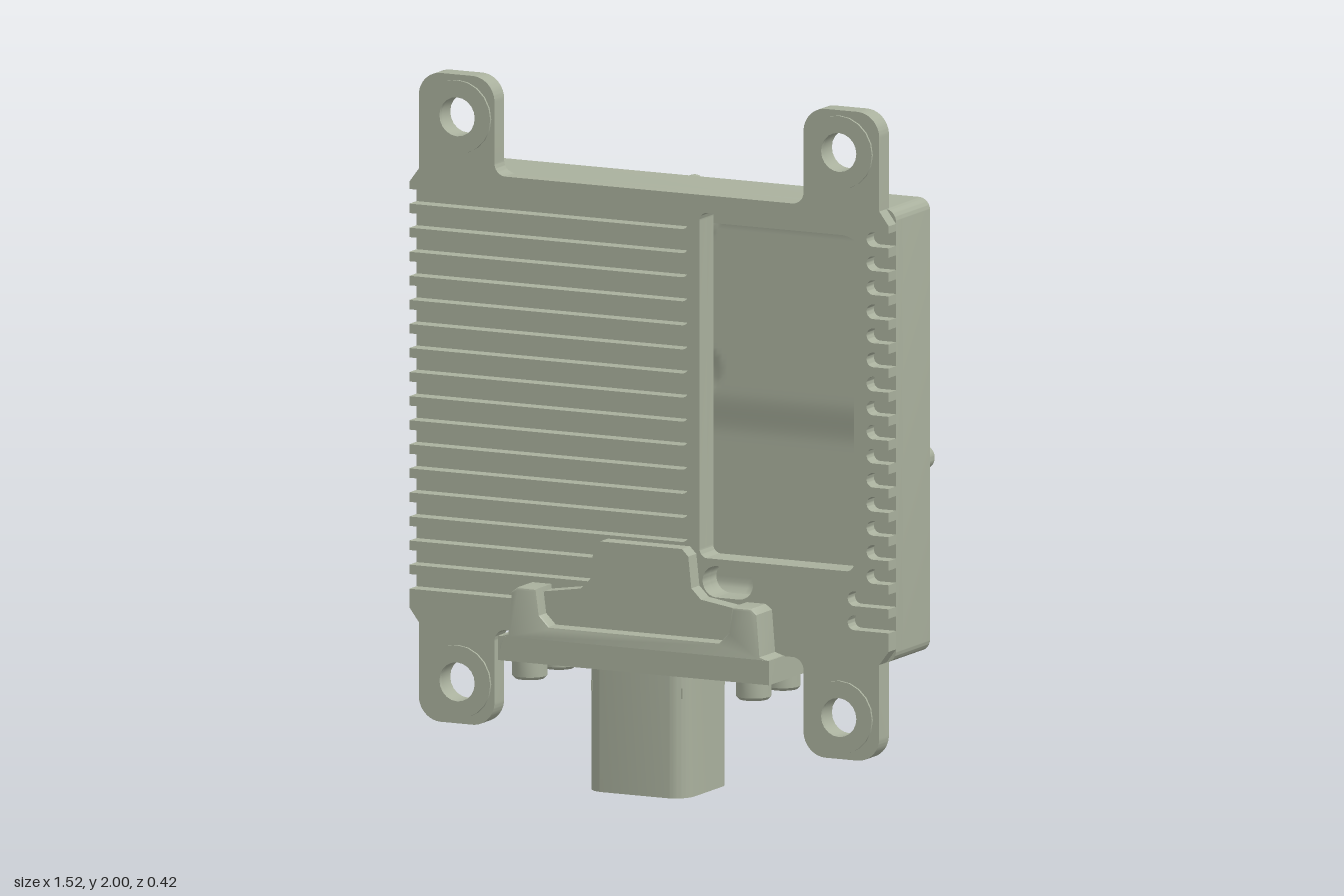
import * as THREE from 'three';
import { toCreasedNormals } from 'three/addons/utils/BufferGeometryUtils.js';

const COLOR = 0xa9b09d;
const mat = new THREE.MeshStandardMaterial({ color: COLOR });
const thinMat = new THREE.MeshStandardMaterial({ color: COLOR, side: THREE.DoubleSide });

// Rounded rectangle, drawn into a Shape or a Path
function roundRect(p, x0, y0, x1, y1, r) {
  p.moveTo(x0 + r, y0);
  p.lineTo(x1 - r, y0);
  p.absarc(x1 - r, y0 + r, r, -Math.PI / 2, 0);
  p.lineTo(x1, y1 - r);
  p.absarc(x1 - r, y1 - r, r, 0, Math.PI / 2);
  p.lineTo(x0 + r, y1);
  p.absarc(x0 + r, y1 - r, r, Math.PI / 2, Math.PI);
  p.lineTo(x0, y0 + r);
  p.absarc(x0 + r, y0 + r, r, Math.PI, Math.PI * 1.5);
  return p;
}

const polygon = (pts) => new THREE.Shape(pts.map(([x, y]) => new THREE.Vector2(x, y)));

// Extrude a shape between two depths
function slab(shape, z0, z1, bevel = 0) {
  const g = new THREE.ExtrudeGeometry(shape, {
    depth: z1 - z0 - 2 * bevel, curveSegments: 10, bevelEnabled: bevel > 0,
    bevelSize: bevel, bevelOffset: -bevel, bevelThickness: bevel, bevelSegments: 2,
  });
  g.translate(0, 0, z0 + bevel);
  return toCreasedNormals(g, 0.6);
}

export function createModel() {
  const model = new THREE.Group();
  const add = (name, geometry, material = mat, parent = model) => {
    const mesh = new THREE.Mesh(geometry, material);
    mesh.name = name;
    parent.add(mesh);
    return mesh;
  };

  // Housing walls around the cavity
  const wall = roundRect(new THREE.Shape(), -0.76, 0.42, 0.76, 1.72, 0.035);
  wall.holes.push(roundRect(new THREE.Path(), -0.645, 0.505, 0.645, 1.625, 0.08));
  add('housingWalls', slab(wall, -0.14, 0.03));

  // Front openings: large window and small oblong port
  const openings = () => {
    const port = new THREE.Path();
    port.absarc(0.285, 0.615, 0.045, -Math.PI / 2, Math.PI / 2);
    port.absarc(0.215, 0.615, 0.045, Math.PI / 2, Math.PI * 1.5);
    return [roundRect(new THREE.Path(), 0.16, 0.68, 0.65, 1.67, 0.025), port];
  };
  const plate = roundRect(new THREE.Shape(), -0.76, 0.42, 0.76, 1.72, 0.035);
  plate.holes.push(...openings());
  add('frontPlate', slab(plate, 0.03, 0.07));

  // Cooling fins: slots with round ends cut in from both side edges
  const r = 0.021, count = 17, slotY = (k) => 1.638 - 0.069 * k;
  const fins = new THREE.Shape();
  fins.moveTo(0.73, 0.42);
  fins.lineTo(-0.73, 0.42);
  fins.lineTo(-0.76, 0.46);
  for (let k = count - 1; k >= 0; k--) {
    const y = slotY(k), end = k === 16 ? -0.4 : k > 13 ? -0.16 : 0.125;
    fins.lineTo(-0.76, y - r);
    fins.lineTo(end - r, y - r);
    fins.absarc(end - r, y, r, -Math.PI / 2, Math.PI / 2);
    fins.lineTo(-0.76, y + r);
  }
  fins.lineTo(-0.76, 1.68);
  fins.lineTo(-0.73, 1.72);
  fins.lineTo(0.73, 1.72);
  fins.lineTo(0.76, 1.68);
  for (let k = 0; k < count; k++) {
    const y = slotY(k), end = k > 14 ? 0.63 : 0.69;
    fins.lineTo(0.76, y + r);
    fins.lineTo(end + r, y + r);
    fins.absarc(end + r, y, r, Math.PI / 2, Math.PI * 1.5);
    fins.lineTo(0.76, y - r);
  }
  fins.lineTo(0.76, 0.46);
  fins.holes.push(...openings());
  add('coolingFins', slab(fins, 0.07, 0.115));

  // Mounting lugs with a filleted root, bolt hole and raised ring
  const lugShape = new THREE.Shape();
  lugShape.moveTo(0.73, -0.04);
  lugShape.lineTo(0.73, 0.21);
  lugShape.absarc(0.66, 0.21, 0.07, 0, Math.PI / 2);
  lugShape.lineTo(0.56, 0.28);
  lugShape.absarc(0.56, 0.21, 0.07, Math.PI / 2, Math.PI);
  lugShape.lineTo(0.49, 0.03);
  lugShape.absarc(0.455, 0.035, 0.035, 0, -Math.PI / 2, true);
  lugShape.lineTo(0.455, -0.04);
  const bolt = () => new THREE.Path().absarc(0.605, 0.16, 0.056, 0, Math.PI * 2);
  lugShape.holes.push(bolt());
  const ring = new THREE.Shape().absarc(0.605, 0.16, 0.105, 0, Math.PI * 2);
  ring.holes.push(bolt());
  for (const top of [true, false]) for (const side of [1, -1]) {
    const lug = new THREE.Group();
    lug.name = (top ? 'upper' : 'lower') + (side > 0 ? 'Left' : 'Right') + 'Lug';
    add('lugPlate', slab(lugShape, 0.055, 0.115), mat, lug);
    add('lugRing', slab(ring, 0.11, 0.122), mat, lug);
    lug.position.y = top ? 1.72 : 0.42;
    lug.scale.set(side, top ? 1 : -1, 1);
    model.add(lug);
  }

  // Rear cover: pressed sheet with a stepped lower half, screw dents and a vent bump
  const dents = [[0.59, 1.56], [-0.59, 1.56], [0, 1.59], [0.6, 1.0], [-0.6, 1.0],
    [0.59, 0.56], [-0.59, 0.56], [0.22, 0.53], [-0.22, 0.53]];
  const cover = new THREE.PlaneGeometry(1.31, 1.14, 90, 80);
  cover.translate(0, 1.065, 0);
  const pos = cover.attributes.position;
  for (let i = 0; i < pos.count; i++) {
    const x = pos.getX(i), y = pos.getY(i);
    const qx = Math.abs(x) - 0.575, qy = Math.abs(y - 1.065) - 0.49;
    const inset = 0.08 - Math.hypot(Math.max(qx, 0), Math.max(qy, 0)) - Math.min(Math.max(qx, qy), 0);
    const full = 0.07 - 0.016 * THREE.MathUtils.smoothstep(y, 0.97, 1.1);
    let h = full * Math.sin(THREE.MathUtils.clamp(inset / 0.055, 0, 1) * Math.PI / 2);
    for (const [dx, dy] of dents) {
      const d = Math.hypot(x - dx, y - dy);
      h = Math.min(h, full * THREE.MathUtils.clamp(0.55 + (d - 0.03) / 0.07, 0.55, 1));
    }
    h += 0.018 * (1 - THREE.MathUtils.smoothstep(Math.hypot(x, y - 1.15), 0.035, 0.07));
    pos.setZ(i, -0.142 - h);
  }
  cover.computeVertexNormals();
  add('rearCover', cover, thinMat);

  // Socket screws, profile turned around the axis
  const screwGeo = (radius, height) => toCreasedNormals(new THREE.LatheGeometry(
    [[0, height * 0.45], [0.5, height * 0.45], [0.5, height], [0.85, height], [1, height * 0.85], [1, 0]]
      .map(([a, b]) => new THREE.Vector2(a * radius, b)).reverse(), 18), 0.6);
  const coverScrew = screwGeo(0.034, 0.038);
  coverScrew.rotateX(-Math.PI / 2);
  for (const [x, y] of [[0.7, 1.67], [-0.7, 1.67], [0, 1.685], [0.725, 0.97], [-0.725, 0.97],
    [0.7, 0.45], [-0.7, 0.45], [0.22, 0.435], [-0.22, 0.435]]) {
    add('coverScrew', coverScrew, thinMat).position.set(x, y, -0.139);
  }

  // Connector flange: base, raised U-shaped rim and stepped centre boss
  const base = add('flangeBase', new THREE.BoxGeometry(0.86, 0.07, 0.285));
  base.position.set(0, 0.387, 0.0675);
  add('flangeRim', slab(polygon([[-0.43, 0.352], [0.43, 0.352], [0.43, 0.42], [0.4, 0.43], [0.39, 0.55],
    [0.37, 0.565], [0.31, 0.565], [0.3, 0.49], [0.27, 0.46], [-0.27, 0.46], [-0.3, 0.49],
    [-0.31, 0.565], [-0.37, 0.565], [-0.39, 0.55], [-0.4, 0.43], [-0.43, 0.42]]), 0.1, 0.21, 0.008));
  add('flangeBoss', slab(polygon([[-0.32, 0.43], [0.32, 0.43], [0.32, 0.55], [0.19, 0.57], [0.16, 0.6],
    [0.15, 0.69], [0.13, 0.71], [-0.13, 0.71], [-0.15, 0.69], [-0.16, 0.6],
    [-0.19, 0.57], [-0.32, 0.55]]), 0.1, 0.165));
  const flangeScrew = screwGeo(0.05, 0.055);
  flangeScrew.rotateX(Math.PI);
  for (const x of [0.355, -0.355]) for (const z of [0.16, -0.02]) {
    add('flangeScrew', flangeScrew, thinMat).position.set(x, 0.355, z);
  }

  // Connector shroud, open at the bottom, with a closed floor inside
  const shroud = roundRect(new THREE.Shape(), -0.16, -0.085, 0.16, 0.205, 0.06);
  shroud.holes.push(roundRect(new THREE.Path(), -0.142, -0.067, 0.142, 0.187, 0.045));
  const shroudGeo = slab(shroud, 0, 0.36);
  shroudGeo.rotateX(Math.PI / 2);
  shroudGeo.scale(1, 1, 1);
  const shroudMesh = add('connectorShroud', shroudGeo);
  shroudMesh.position.y = 0.36;
  add('connectorFloor', new THREE.BoxGeometry(0.29, 0.03, 0.26)).position.set(0, 0.3, 0.06);

  // Latch wedge and guide ribs on the back of the shroud
  const latch = slab(polygon([[-0.08, 0.2], [-0.105, 0.2], [-0.13, 0.25], [-0.13, 0.265],
    [-0.1, 0.305], [-0.08, 0.305]]), -0.03, 0.03);
  latch.rotateY(-Math.PI / 2);
  latch.rotateY(Math.PI / 2);
  latch.applyMatrix4(new THREE.Matrix4().set(0, 0, -1, 0, 0, 1, 0, 0, 1, 0, 0, 0, 0, 0, 0, 1));
  add('latchWedge', latch);
  add('latchPlate', new THREE.BoxGeometry(0.16, 0.09, 0.02)).position.set(0, 0.3, -0.085);
  for (const x of [0.1, -0.1]) {
    add('guideRib', new THREE.BoxGeometry(0.015, 0.3, 0.015)).position.set(x, 0.2, -0.086);
  }
  return model;
}
